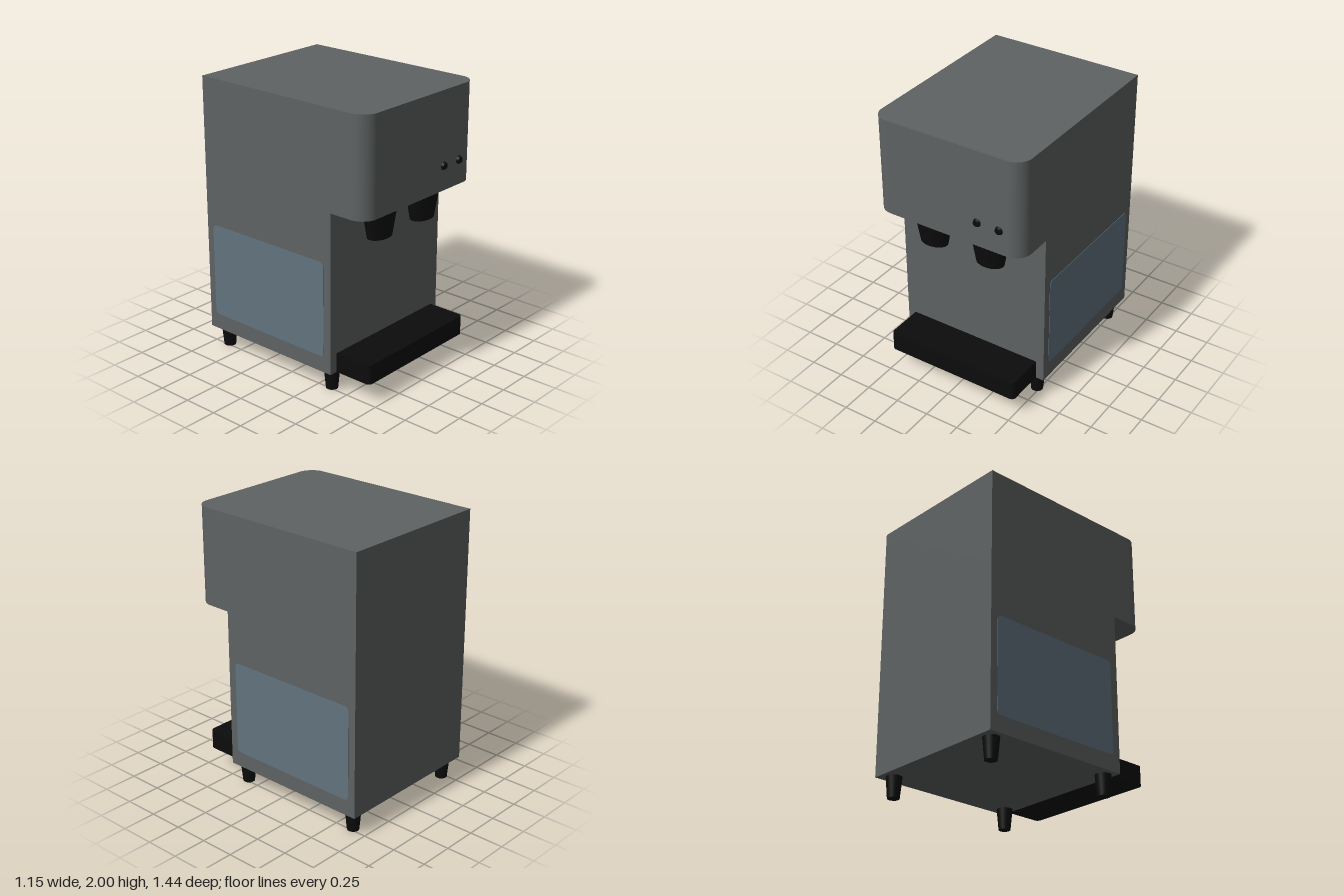
import * as THREE from 'three';

function material(name, color) {
  const m = new THREE.MeshStandardMaterial({ color });
  m.name = name;
  return m;
}

// Rectangle with a radius for each pair of corners: low y and high y
function roundedRect(x0, y0, x1, y1, rLow, rHigh) {
  const s = new THREE.Shape();
  s.moveTo(x0 + rLow, y0);
  s.lineTo(x1 - rLow, y0);
  if (rLow) s.absarc(x1 - rLow, y0 + rLow, rLow, -Math.PI / 2, 0, false);
  s.lineTo(x1, y1 - rHigh);
  if (rHigh) s.absarc(x1 - rHigh, y1 - rHigh, rHigh, 0, Math.PI / 2, false);
  s.lineTo(x0 + rHigh, y1);
  if (rHigh) s.absarc(x0 + rHigh, y1 - rHigh, rHigh, Math.PI / 2, Math.PI, false);
  s.lineTo(x0, y0 + rLow);
  if (rLow) s.absarc(x0 + rLow, y0 + rLow, rLow, Math.PI, Math.PI * 1.5, false);
  return s;
}

// Upright slab with rounded front corners, from y0 to y1
function frontRoundedSlab(halfWidth, zBack, zFront, r, y0, y1) {
  const shape = roundedRect(-halfWidth, -zFront, halfWidth, -zBack, r, 0);
  const g = new THREE.ExtrudeGeometry(shape, { depth: y1 - y0, bevelEnabled: false, curveSegments: 10 });
  g.rotateX(-Math.PI / 2);
  g.translate(0, y0, 0);
  // Smooth normals around the rounded corners
  const p = g.attributes.position, n = g.attributes.normal;
  for (let i = 0; i < p.count; i++) {
    if (Math.abs(n.getY(i)) > 0.5) continue;
    const dx = Math.abs(p.getX(i)) - (halfWidth - r), dz = p.getZ(i) - (zFront - r);
    if (dx < -1e-4 || dz < -1e-4 || n.getZ(i) < -0.5) continue;
    const l = Math.hypot(dx, dz) || 1;
    n.setXYZ(i, Math.sign(p.getX(i)) * dx / l, 0, dz / l);
  }
  return g;
}

export function createModel() {
  const model = new THREE.Group();
  model.name = 'drinkDispenser';
  const grey = material('bodyGrey', 0x5e6262);
  const black = material('black', 0x0c0c0c);
  const blue = material('panelBlue', 0x61737e);

  const add = (name, geometry, mat, x = 0, y = 0, z = 0) => {
    const mesh = new THREE.Mesh(geometry, mat);
    mesh.name = name;
    mesh.position.set(x, y, z);
    model.add(mesh);
    return mesh;
  };

  // Cabinet and overhanging head
  add('cabinet', new THREE.BoxGeometry(1.14, 1.155, 1.14), grey, 0, 0.7275, -0.15);
  add('head', frontRoundedSlab(0.57, -0.72, 0.705, 0.115, 1.305, 2), grey);

  // Drip tray
  add('dripTray', frontRoundedSlab(0.51, 0.42, 0.705, 0.03, 0.15, 0.29), black);

  // Oval tapered nozzles
  for (const side of [-1, 1]) {
    const nozzle = new THREE.CylinderGeometry(0.145, 0.102, 0.225, 32);
    nozzle.scale(1, 1, 0.67);
    add(side > 0 ? 'leftNozzle' : 'rightNozzle', nozzle, black, side * 0.224, 1.1925, 0.542);
  }

  // Control buttons
  for (const x of [0.235, 0.4]) {
    const button = new THREE.CylinderGeometry(0.022, 0.03, 0.016, 24);
    button.rotateX(Math.PI / 2);
    add('button', button, black, x, 1.48, 0.712);
  }

  // Tapered feet
  for (const x of [-0.48, 0.48]) {
    for (const z of [0.352, -0.632]) {
      add('foot', new THREE.CylinderGeometry(0.056, 0.042, 0.15, 24), black, x, 0.075, z);
    }
  }

  // Side panels, one on each side
  const panelShape = roundedRect(-0.512, -0.34, 0.512, 0.34, 0.03, 0.03);
  const panel = new THREE.ExtrudeGeometry(panelShape, { depth: 0.003, bevelEnabled: false, curveSegments: 6 });
  for (const side of [-1, 1]) {
    const mesh = add(side > 0 ? 'leftPanel' : 'rightPanel', panel, blue, side * 0.57, 0.605, -0.153);
    mesh.rotation.y = side * Math.PI / 2;
  }

  return model;
}
